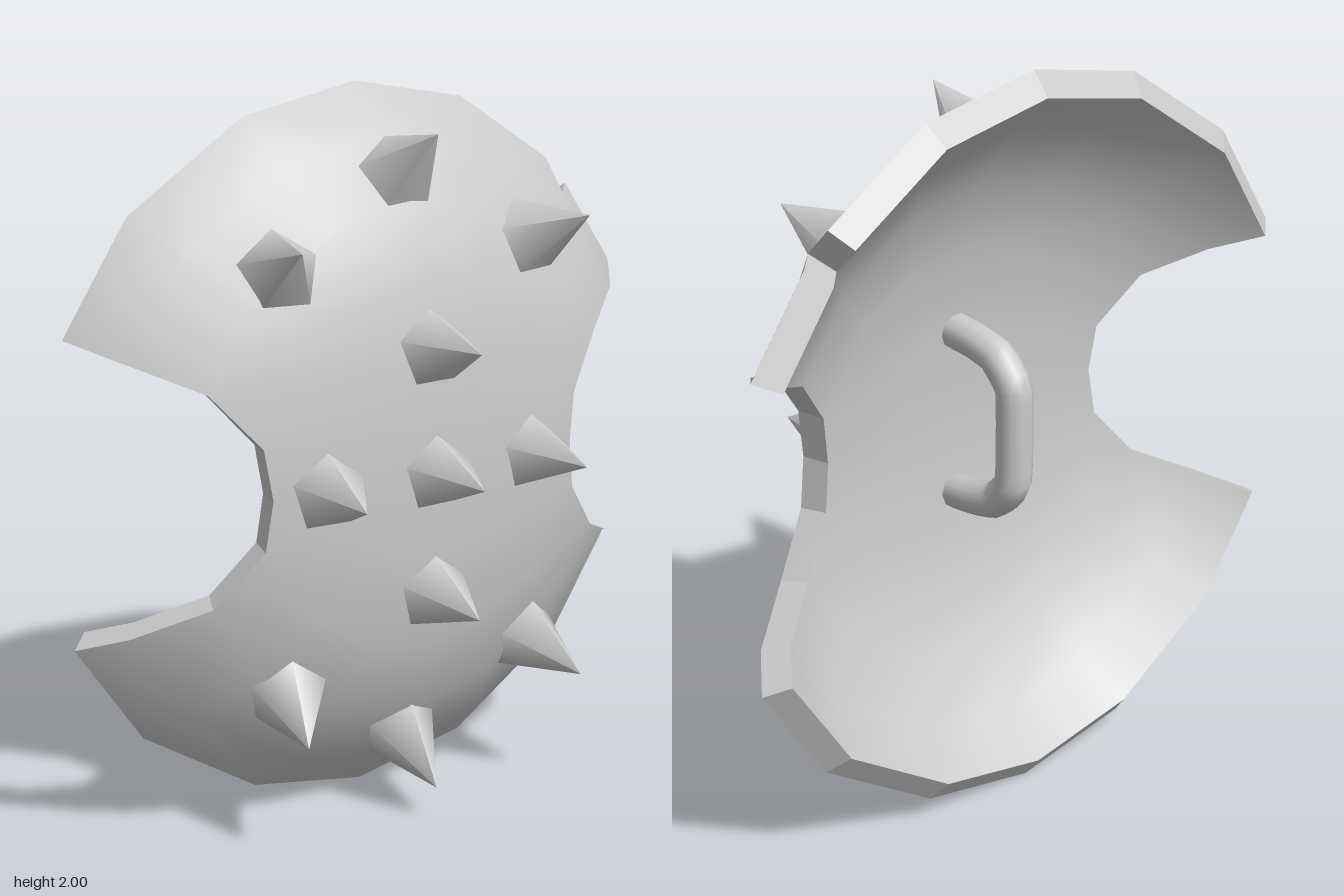
import * as THREE from 'three';

const material = new THREE.MeshStandardMaterial({ color: 0xcccccc });
const THICKNESS = 0.08;
const RINGS = [0, 0.25, 0.5, 0.7, 0.88, 1];

// Dome depth and slope at a distance from the centre
const depth = (r) => 0.11 - 0.12 * r ** 2 - 0.255 * r ** 4;
const slope = (r) => 0.24 * r + 1.02 * r ** 3;

// Outline about the centre: [x, y, dome radius when it differs from the distance]
const bite = [[0.51, 0.137], [0.633, 0.285], [0.805, 0.368], [0.9, 0.415, 1]];
const rim = [[0.705, 0.707, 1], [0.354, 0.933, 1]];
const notch = [[0.733, 0.655, 1], [0.644, 0.65], [0.66, 0.735, 1]];
const flip = (pts, sx, sy) => {
  const out = pts.map(([x, y, d]) => [x * sx, y * sy, d]);
  return sx * sy < 0 ? out.reverse() : out;
};
const outline = [
  [0.49, 0], ...bite, ...notch, rim[1], [0, 1],
  ...flip([...bite, ...rim], -1, 1), [-0.49, 0],
  ...flip([...bite, ...rim], -1, -1), [0, -1],
  ...flip([...bite, ...rim], 1, -1),
];

// Point and normal on the dome along the ray through an outline corner
function domePoint([x, y, d], ring, inset) {
  const R = Math.hypot(x, y);
  const full = d ?? R;
  const r = Math.min(ring, full);
  const n = new THREE.Vector3((x / R) * slope(r), (y / R) * slope(r), 1).normalize();
  const p = new THREE.Vector3((x * r) / full, (y * r) / full, depth(r)).addScaledVector(n, -inset);
  return { p, n };
}

// Smooth front or back skin, built ring by ring
function skin(inset, back) {
  const pos = [], nor = [], idx = [];
  const N = outline.length;
  RINGS.forEach((ring) => outline.forEach((o) => {
    const { p, n } = domePoint(o, ring, inset);
    pos.push(...p.toArray());
    nor.push(...n.multiplyScalar(back ? -1 : 1).toArray());
  }));
  for (let j = 0; j < RINGS.length - 1; j++) {
    for (let i = 0; i < N; i++) {
      const k = (i + 1) % N;
      const a = j * N + i, b = a + N, c = (j + 1) * N + k, d = j * N + k;
      idx.push(...(back ? [a, c, b, a, d, c] : [a, b, c, a, c, d]));
    }
  }
  const g = new THREE.BufferGeometry();
  g.setAttribute('position', new THREE.Float32BufferAttribute(pos, 3));
  g.setAttribute('normal', new THREE.Float32BufferAttribute(nor, 3));
  g.setIndex(idx);
  return g;
}

// Flat wall that joins the two skins all round the outline
function wall() {
  const pos = [];
  outline.forEach((o, i) => {
    const next = outline[(i + 1) % outline.length];
    const [a, b] = [o, next].map((c) => domePoint(c, 1, 0).p);
    const [a2, b2] = [o, next].map((c) => domePoint(c, 1, THICKNESS).p);
    for (const v of [a, a2, b2, a, b2, b]) pos.push(...v.toArray());
  });
  const g = new THREE.BufferGeometry();
  g.setAttribute('position', new THREE.Float32BufferAttribute(pos, 3));
  g.computeVertexNormals();
  return g;
}

export function createModel() {
  const model = new THREE.Group();
  model.name = 'spikedShield';
  const body = new THREE.Group();
  body.position.y = 1;
  model.add(body);
  body.name = 'shield';
  const add = (name, geometry) => {
    const mesh = new THREE.Mesh(geometry, material);
    mesh.name = name;
    body.add(mesh);
    return mesh;
  };

  // Curved plate
  add('frontFace', skin(0, false));
  add('backFace', skin(THICKNESS, true));
  add('rimWall', wall());

  // Five-sided spikes standing square to the dome
  const spikeGeometry = new THREE.ConeGeometry(0.115, 0.23, 5);
  spikeGeometry.translate(0, 0.115, 0).rotateX(Math.PI / 2).rotateZ(Math.PI);
  const spots = [[0, 0]];
  for (const s of [-1, 1]) {
    spots.push([0.335 * s, 0], [0, 0.335 * s], [0, 0.785 * s], [0.405 * s, 0.575], [0.405 * s, -0.575]);
  }
  const forward = new THREE.Vector3(0, 0, 1);
  for (const [x, y] of spots) {
    const r = Math.hypot(x, y);
    const k = r ? slope(r) / r : 0;
    const n = new THREE.Vector3(x * k, y * k, 1).normalize();
    const spike = add('spike', spikeGeometry);
    spike.position.set(x, y, depth(r)).addScaledVector(n, -0.025);
    spike.quaternion.setFromUnitVectors(forward, n);
  }

  // Bent grip on the back
  const half = [[0.235, 0.04], [0.225, -0.06], [0.205, -0.14], [0.13, -0.205]];
  const path = [...half, ...half.map(([y, z]) => [-y, z]).reverse()];
  const curve = new THREE.CatmullRomCurve3(
    path.map(([y, z]) => new THREE.Vector3(0, y, z)), false, 'catmullrom', 0.2);
  add('handle', new THREE.TubeGeometry(curve, 32, 0.05, 10, false));

  return model;
}
